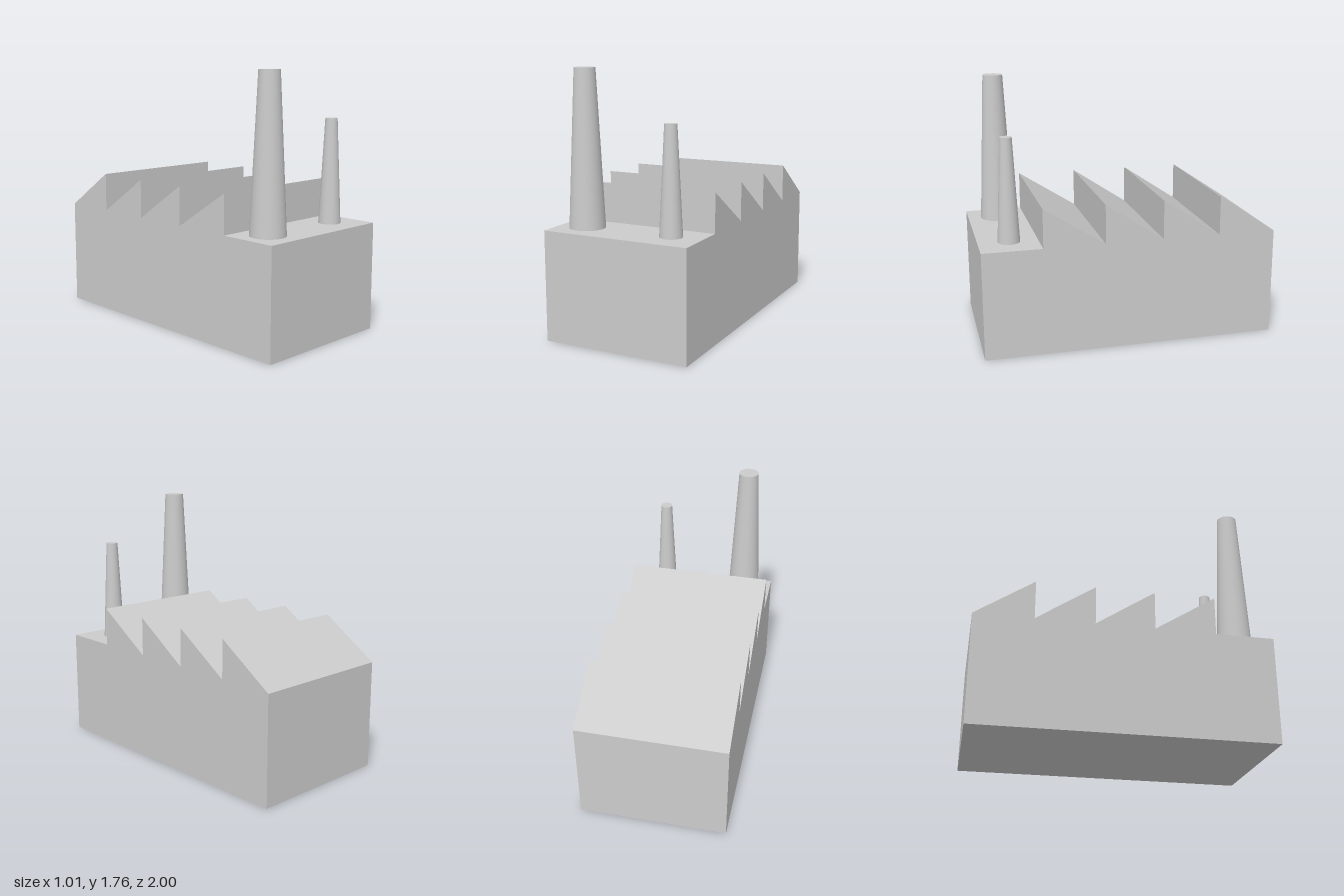
import * as THREE from 'three';

const WIDTH = 1.01, WALL = 0.735, RIDGE = 1.0;

export function createModel() {
  const group = new THREE.Group();
  group.name = 'factory';
  const material = new THREE.MeshStandardMaterial({ color: 0xcccccc });

  // Hall: side profile (z, y) with a sawtooth roof, extruded across the width
  const profile = new THREE.Shape();
  profile.moveTo(-1, 0);
  profile.lineTo(1, 0);
  profile.lineTo(1, WALL);
  const teeth = [0.6, 0.187, -0.21, -0.605, -1];
  for (let i = 0; i < teeth.length - 1; i++) {
    profile.lineTo(teeth[i], WALL);
    profile.lineTo(teeth[i], RIDGE);
  }
  profile.lineTo(-1, WALL);
  profile.closePath();
  const hallGeometry = new THREE.ExtrudeGeometry(profile, { depth: WIDTH, bevelEnabled: false });
  hallGeometry.translate(0, 0, -WIDTH / 2).rotateY(-Math.PI / 2);
  const hall = new THREE.Mesh(hallGeometry, material);
  hall.name = 'sawtoothHall';
  group.add(hall);

  // Tapered chimneys standing on the flat front roof
  const addChimney = (name, x, topRadius, baseRadius, top) => {
    const height = top - WALL;
    const chimney = new THREE.Mesh(new THREE.CylinderGeometry(topRadius, baseRadius, height, 64), material);
    chimney.name = name;
    chimney.position.set(x, WALL + height / 2, 0.793);
    group.add(chimney);
  };
  addChimney('tallChimney', -0.311, 0.068, 0.118, 1.76);
  addChimney('shortChimney', 0.296, 0.04, 0.074, 1.435);

  return group;
}
